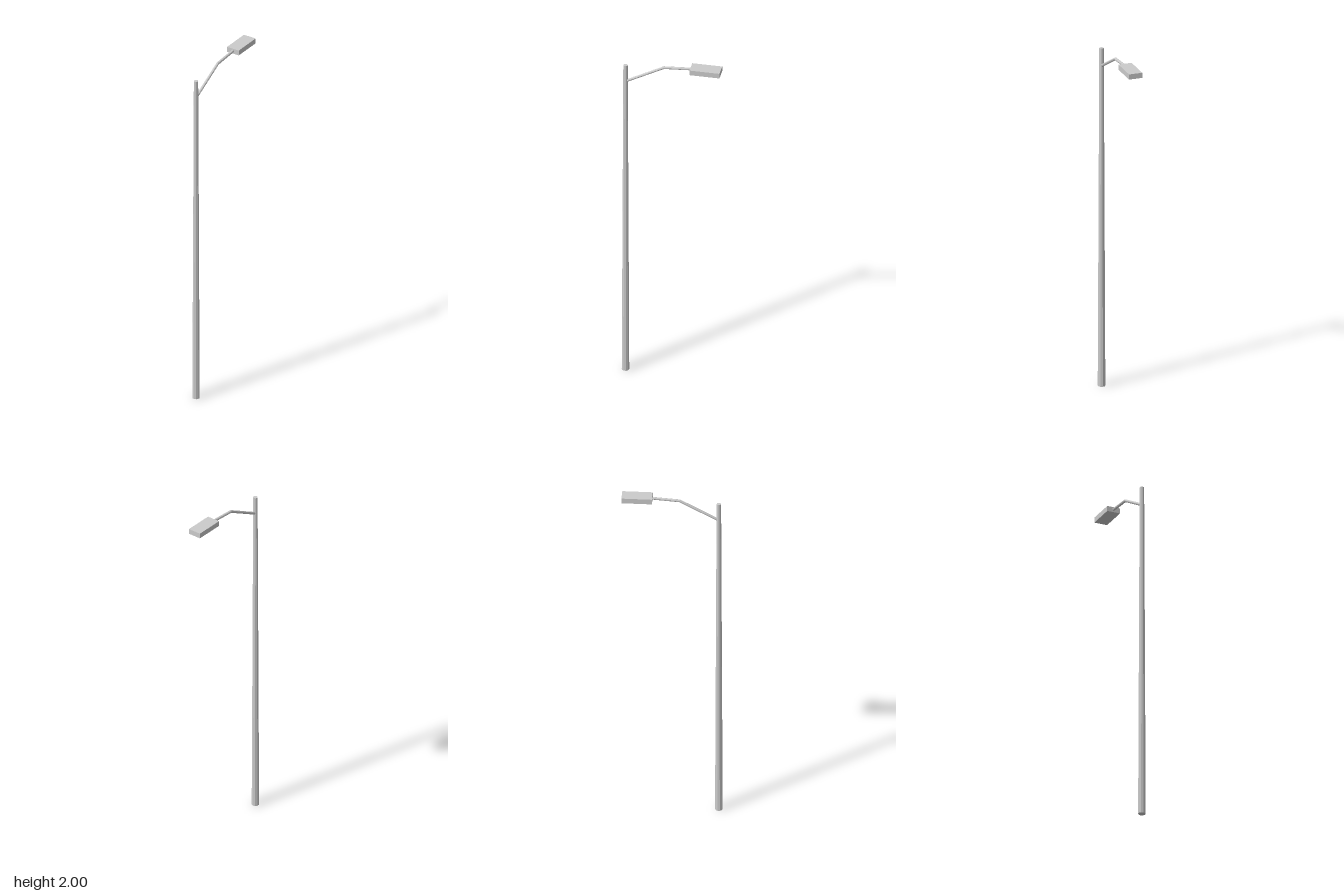
import * as THREE from 'three';

const POLE_Z = 0.255;

export function createModel() {
  const group = new THREE.Group();
  const material = new THREE.MeshStandardMaterial({ color: 0xcccccc, flatShading: true });
  const add = (name, geometry, x = 0, y = 0, z = 0) => {
    const mesh = new THREE.Mesh(geometry, material);
    mesh.name = name;
    mesh.position.set(x, y, z);
    group.add(mesh);
  };

  // Tapered pole
  const poleHeight = 1.965;
  add('pole', new THREE.CylinderGeometry(0.0125, 0.021, poleHeight, 10), 0, poleHeight / 2, POLE_Z);

  // Bent arm: each ring of a straight cylinder moves to a path point, mitred at the bend
  const path = [[1.864, POLE_Z - 0.005], [1.976, 0.041], [1.987, -0.12]]
    .map(([y, z]) => new THREE.Vector3(0, y, z));
  const dirs = [0, 1].map(i => path[i + 1].clone().sub(path[i]).normalize());
  const tangents = [dirs[0], dirs[0].clone().add(dirs[1]).normalize(), dirs[1]];
  const arm = new THREE.CylinderGeometry(0.0078, 0.0078, 1, 8, 2);
  const pos = arm.attributes.position;
  for (let i = 0; i < pos.count; i++) {
    const ring = Math.round((pos.getY(i) + 0.5) * 2);
    const t = tangents[ring];
    const across = pos.getZ(i) / t.dot(dirs[Math.min(ring, 1)]);
    pos.setXYZ(i, pos.getX(i), path[ring].y - t.z * across, path[ring].z + t.y * across);
  }
  arm.computeVertexNormals();
  add('arm', arm);

  // Flat lamp housing at the arm's end
  add('lampHead', new THREE.BoxGeometry(0.077, 0.03, 0.167), 0, 1.985, -0.1925);

  return group;
}
